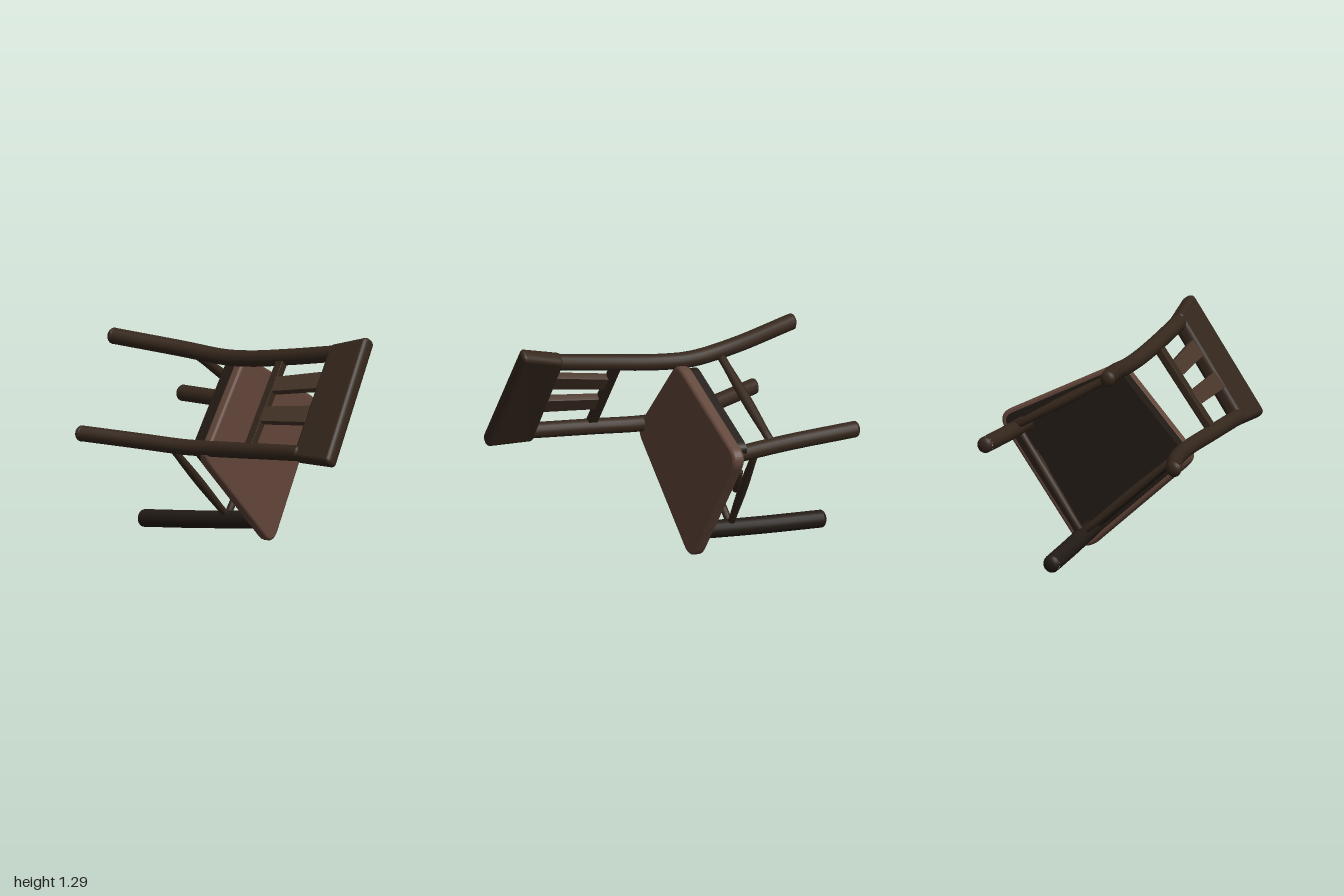
import * as THREE from 'three';
import { RoundedBoxGeometry } from 'three/addons/geometries/RoundedBoxGeometry.js';

const V = (p) => new THREE.Vector3(...p);
const wood = new THREE.MeshStandardMaterial({ color: 0x35271c });
const darkWood = new THREE.MeshStandardMaterial({ color: 0x221a14 });
const seatWood = new THREE.MeshStandardMaterial({ color: 0x62463a });
const slatWood = new THREE.MeshStandardMaterial({ color: 0x49362a });

function add(parent, name, geometry, material) {
  const mesh = new THREE.Mesh(geometry, material);
  mesh.name = name;
  parent.add(mesh);
  return mesh;
}

// Round bar along a smooth curve, with softly rounded ends
function bar(parent, name, points, radius, material) {
  const group = new THREE.Group();
  group.name = name;
  const curve = new THREE.CatmullRomCurve3(points.map(V));
  add(group, name + 'Shaft', new THREE.TubeGeometry(curve, 40, radius, 16), material);
  [0, 1].forEach((t) => {
    const cap = add(group, name + 'End', new THREE.SphereGeometry(radius, 16, 12), material);
    cap.position.copy(curve.getPoint(t));
    cap.scale.z = 0.6;
  });
  parent.add(group);
}

// Turned spindle, thicker in the middle than at its ends
function spindle(parent, name, from, to, r) {
  const a = V(from), b = V(to), len = a.distanceTo(b);
  const profile = [0, 0.8, 0.8, 0.92, 1, 1, 0.92, 0.8, 0.8, 0]
    .map((k, i) => new THREE.Vector2(r * k, (THREE.MathUtils.clamp((i - 1) / 7, 0, 1) - 0.5) * len));
  const mesh = add(parent, name, new THREE.LatheGeometry(profile, 14), wood);
  mesh.position.lerpVectors(a, b, 0.5);
  mesh.quaternion.setFromUnitVectors(new THREE.Vector3(0, 1, 0), b.sub(a).normalize());
}

// Rounded board stretched over four corners: p00-p10 is one long edge, p01-p11 the other;
// shift moves it along its own normal
function board(parent, name, [p00, p10, p01, p11], thickness, round, material, shift = 0) {
  const geo = new RoundedBoxGeometry(1, 0.4, thickness, 4, round);
  const [a, b, c, d] = [p00, p10, p01, p11].map(V);
  const normal = b.clone().sub(a).cross(c.clone().sub(a)).normalize();
  const pos = geo.attributes.position;
  for (let i = 0; i < pos.count; i++) {
    const u = pos.getX(i) + 0.5, v = pos.getY(i) / 0.4 + 0.5;
    const p = a.clone().lerp(b, u).lerp(c.clone().lerp(d, u), v);
    p.addScaledVector(normal, pos.getZ(i) + shift);
    pos.setXYZ(i, p.x, p.y, p.z);
  }
  geo.computeVertexNormals();
  add(parent, name, geo, material);
}

// Seat outline with rounded corners, scaled about the point (cx, cy)
const corners = [[0.0, 1.09], [0.725, 0.74], [0.23, -0.04], [-0.43, 0.55]];
function outline(k, cx, cy, Type = THREE.Shape) {
  const pts = corners.map(([x, y]) => new THREE.Vector2(cx + (x - cx) * k, cy + (y - cy) * k));
  const shape = new Type();
  pts.forEach((p, i) => {
    const before = p.clone().lerp(pts[(i + 3) % 4], 0.09);
    const after = p.clone().lerp(pts[(i + 1) % 4], 0.09);
    if (i === 0) shape.moveTo(before.x, before.y);
    else shape.lineTo(before.x, before.y);
    shape.quadraticCurveTo(p.x, p.y, after.x, after.y);
  });
  shape.closePath();
  return shape;
}

// Tilted slab of the seat: z falls as x and, slightly, y grow
function slab(parent, name, shape, depth, bevel, z, material) {
  const geo = new THREE.ExtrudeGeometry(shape, {
    depth, bevelEnabled: bevel > 0, bevelThickness: bevel, bevelSize: bevel, bevelSegments: 4, curveSegments: 10,
  });
  geo.applyMatrix4(new THREE.Matrix4().set(1, 0, 0, 0, 0, 1, 0, 0, -0.2, -0.032, 1, z, 0, 0, 0, 1));
  geo.computeVertexNormals();
  add(parent, name, geo, material);
}

export function createModel() {
  const chair = new THREE.Group();
  chair.name = 'tippedChair';

  // Seat board with a darker underside
  slab(chair, 'seat', outline(0.95, 0.14, 0.57), 0.03, 0.02, -0.051, seatWood);
  slab(chair, 'seatUnderside', outline(0.93, 0.14, 0.57), 0.012, 0, -0.076, darkWood);

  // Apron frame beneath the seat, set back from the front edge
  const frame = outline(0.87, -0.17, 0.82);
  frame.holes.push(outline(0.72, 0.06, 0.64, THREE.Path));
  slab(chair, 'apron', frame, 0.075, 0, -0.135, darkWood);

  // Back posts, each running from leg foot to top rail
  bar(chair, 'upperBackPost', [[-0.285, 1.147, -0.815], [-0.13, 1.1, -0.42], [-0.065, 1.075, -0.15],
    [-0.045, 1.085, 0.05], [-0.02, 1.125, 0.35], [0.015, 1.178, 0.69]], 0.047, wood);
  bar(chair, 'lowerBackPost', [[-0.65, 0.637, -0.705], [-0.49, 0.61, -0.37], [-0.4, 0.595, -0.13],
    [-0.365, 0.6, 0.05], [-0.35, 0.62, 0.35], [-0.33, 0.645, 0.73]], 0.046, wood);

  // Front legs
  bar(chair, 'lowerFrontLeg', [[0.035, 0.057, -0.89], [0.1, 0.085, -0.5], [0.165, 0.12, -0.11]], 0.051, darkWood);
  bar(chair, 'upperFrontLeg', [[0.418, 0.727, -0.972], [0.48, 0.715, -0.55], [0.55, 0.7, -0.2]], 0.047, wood);

  // Backrest: top rail, cross rail and two slats
  board(chair, 'topRail', [[-0.345, 0.6, 0.715], [0.035, 1.21, 0.645], [-0.335, 0.6, 1.005], [0.08, 1.28, 0.905]],
    0.092, 0.038, wood);
  board(chair, 'crossRail', [[-0.35, 0.63, 0.33], [-0.03, 1.1, 0.275], [-0.35, 0.63, 0.385], [-0.03, 1.1, 0.33]],
    0.045, 0.018, wood, -0.01);
  [[0.29, 0.46], [0.63, 0.8]].forEach(([s, e]) => {
    const low = (t) => [-0.35 + 0.32 * t, 0.63 + 0.46 * t, 0.36 - 0.05 * t];
    const high = (t) => [-0.34 + 0.37 * t, 0.64 + 0.53 * t, 0.74 - 0.07 * t];
    board(chair, 'backSlat', [low(s), low(e), high(s), high(e)], 0.045, 0.02, slatWood, -0.014);
  });

  // Stretchers between the legs
  spindle(chair, 'upperSideStretcher', [-0.1, 1.07, -0.33], [0.5, 0.73, -0.45], 0.03);
  spindle(chair, 'lowerSideStretcher', [-0.42, 0.6, -0.23], [0.13, 0.12, -0.32], 0.026);
  spindle(chair, 'frontStretcher', [0.13, 0.12, -0.32], [0.52, 0.7, -0.35], 0.026);
  spindle(chair, 'stretcherFragment', [0.35, 0.41, -0.28], [0.45, 0.56, -0.28], 0.02);

  return chair;
}
